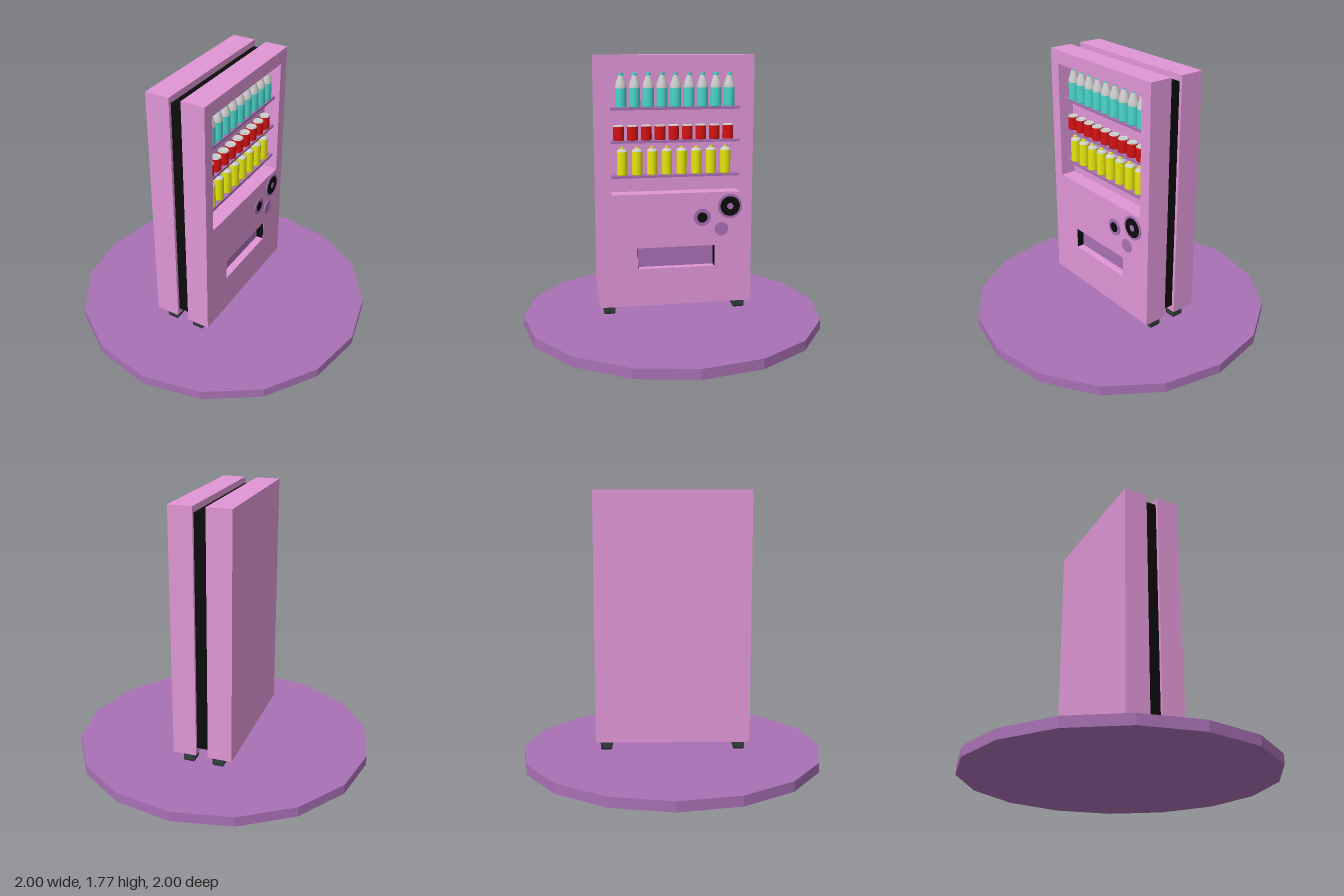
import * as THREE from 'three';

const mat = (color, flatShading = true) => new THREE.MeshStandardMaterial({ color, flatShading });
const PINK = mat(0xe096d6), PURPLE = mat(0xa870b4), BLACK = mat(0x0c0c0c), RUBBER = mat(0x323c3c);
const TEAL = mat(0x48d8cc, false), RED = mat(0xd81212, false), YELLOW = mat(0xe8e80c, false), GREY = mat(0xcccccc, false);

export function createModel() {
  const model = new THREE.Group();

  const add = (name, geometry, material, x = 0, y = 0, z = 0, parent = model) => {
    const mesh = new THREE.Mesh(geometry, material);
    mesh.name = name;
    mesh.position.set(x, y, z);
    parent.add(mesh);
    return mesh;
  };
  // box given by its limits on each axis
  const box = (name, material, [x0, x1], [y0, y1], [z0, z1]) =>
    add(name, new THREE.BoxGeometry(x1 - x0, y1 - y0, z1 - z0), material,
      (x0 + x1) / 2, (y0 + y1) / 2, (z0 + z1) / 2);
  const rect = (C, w, y0, y1) => {
    const s = new C();
    s.moveTo(-w, y0);
    s.lineTo(w, y0);
    s.lineTo(w, y1);
    s.lineTo(-w, y1);
    s.closePath();
    return s;
  };
  const lathe = (points, sides) =>
    new THREE.LatheGeometry(points.map(([r, y]) => new THREE.Vector2(r, y)), sides);

  // round sixteen-sided platform
  add('platform', new THREE.CylinderGeometry(1, 1, 0.065, 16), PURPLE, 0, 0.0325, 0);

  // cabinet: rear shell, dark core, front shell with window and outlet openings
  box('rearShell', PINK, [-0.22, -0.06], [0.155, 1.775], [-0.5, 0.5]);
  box('core', BLACK, [-0.06, 0.02], [0.2, 1.735], [-0.48, 0.48]);
  box('frontShellBack', PINK, [0.02, 0.07], [0.155, 1.775], [-0.5, 0.5]);
  const face = rect(THREE.Shape, 0.5, 0.155, 1.775);
  face.holes.push(rect(THREE.Path, 0.42, 0.9, 1.685), rect(THREE.Path, 0.255, 0.405, 0.545));
  const frame = add('frontShellFrame',
    new THREE.ExtrudeGeometry(face, { depth: 0.105, bevelEnabled: false }), PINK, 0.07);
  frame.rotation.y = Math.PI / 2;

  // outlet flap, set back between dark cheeks
  box('outletFlap', PURPLE, [0.115, 0.125], [0.405, 0.545], [-0.255, 0.255]);
  for (const s of [-1, 1])
    box('outletCheek', BLACK, [0.07, 0.173], [0.406, 0.544], s < 0 ? [-0.255, -0.252] : [0.252, 0.255]);

  // shelves
  for (const top of [1.45, 1.24, 1.016])
    box('shelf', PURPLE, [0.07, 0.142], [top - 0.016, top], [-0.42, 0.42]);

  // rows of goods; each item is a stack of lathed parts
  const row = (name, count, y, zFirst, zLast, parts) => {
    const built = parts.map(([part, points, material]) => [part, lathe(points, 16), material]);
    for (let i = 0; i < count; i++) {
      const item = new THREE.Group();
      item.name = name;
      item.position.set(0.107, y, zFirst + (zLast - zFirst) * i / (count - 1));
      for (const [part, geometry, material] of built) add(part, geometry, material, 0, 0, 0, item);
      model.add(item);
    }
  };
  row('bottle', 9, 1.451, 0.345, -0.354, [
    ['bottleBody', [[0, 0], [0.034, 0], [0.036, 0.004], [0.036, 0.12]], TEAL],
    ['bottleShoulder', [[0.036, 0.12], [0.034, 0.142], [0.015, 0.198], [0.013, 0.202]], GREY],
    ['bottleCap', [[0.015, 0.198], [0.015, 0.214], [0.0149, 0.214], [0, 0.214]], TEAL],
  ]);
  row('can', 9, 1.241, 0.362, -0.348, [
    ['canBody', [[0, 0], [0.032, 0], [0.035, 0.004], [0.035, 0.088]], RED],
    ['canLid', [[0.035, 0.088], [0.033, 0.095], [0.029, 0.095], [0.028, 0.09], [0, 0.09]], GREY],
  ]);
  row('flask', 8, 1.017, 0.341, -0.334, [
    ['flaskBody', [[0, 0], [0.032, 0], [0.034, 0.004], [0.034, 0.152]], YELLOW],
    ['flaskShoulder', [[0.034, 0.152], [0.029, 0.162], [0.013, 0.17]], GREY],
    ['flaskCap', [[0.013, 0.166], [0.013, 0.179], [0.0129, 0.179], [0, 0.179]], YELLOW],
  ]);

  // round controls: stacked discs facing +x
  const disc = (name, material, r, height, y, z) => {
    const d = add(name, new THREE.CylinderGeometry(r, r, height, 24), material, 0.175 + height / 2, y, z);
    d.rotation.z = -Math.PI / 2;
  };
  disc('dialRim', PURPLE, 0.081, 0.006, 0.805, -0.354);
  disc('dialFace', BLACK, 0.065, 0.008, 0.805, -0.354);
  disc('dialHub', PURPLE, 0.021, 0.01, 0.805, -0.354);
  disc('coinSlotRim', PURPLE, 0.057, 0.006, 0.736, -0.17);
  disc('coinSlot', BLACK, 0.034, 0.008, 0.736, -0.17);
  disc('button', PURPLE, 0.045, 0.008, 0.655, -0.297);

  // square feet with chamfered lower edge
  const foot = lathe([[0, 0.088], [0.045, 0.088], [0.053, 0.098], [0.053, 0.156], [0, 0.156]], 4);
  foot.rotateY(Math.PI / 4);
  for (const x of [-0.12, 0.078])
    for (const z of [-0.436, 0.436]) add('foot', foot, RUBBER, x, 0, z);

  return model;
}
